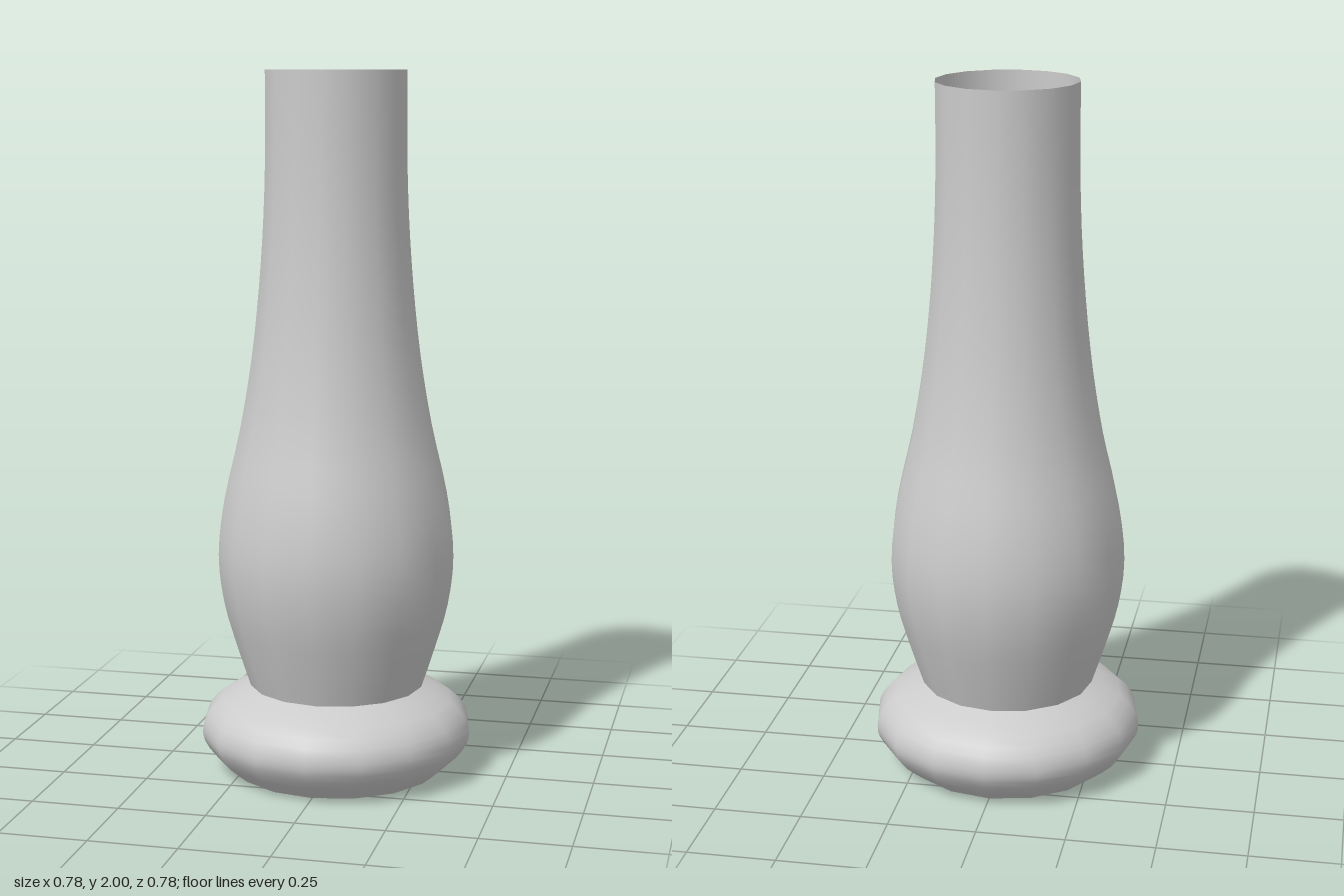
import * as THREE from 'three';

const SIDES = 16;

// Smooth open shell turned from a few [radius, height] points, bottom to top
function turned(name, points, steps, material) {
  const curve = new THREE.SplineCurve(points.map(([r, y]) => new THREE.Vector2(r, y)));
  const mesh = new THREE.Mesh(new THREE.LatheGeometry(curve.getPoints(steps), SIDES), material);
  mesh.name = name;
  return mesh;
}

export function createModel() {
  const group = new THREE.Group();
  group.name = 'vase';
  const material = new THREE.MeshStandardMaterial({ color: 0xcccccc, side: THREE.DoubleSide });

  // Rounded foot ring, open underneath
  group.add(turned('foot', [
    [0.3, 0], [0.353, 0.045], [0.384, 0.09], [0.39, 0.125],
    [0.378, 0.165], [0.335, 0.21], [0.25, 0.25],
  ], 12, material));

  // Swelling body that tapers into a straight, open neck
  group.add(turned('body', [
    [0.25, 0.25], [0.289, 0.37], [0.325, 0.5], [0.34, 0.64], [0.322, 0.8],
    [0.276, 1.0], [0.242, 1.2], [0.22, 1.4], [0.206, 1.6], [0.2, 1.8], [0.2, 2],
  ], 30, material));

  return group;
}
